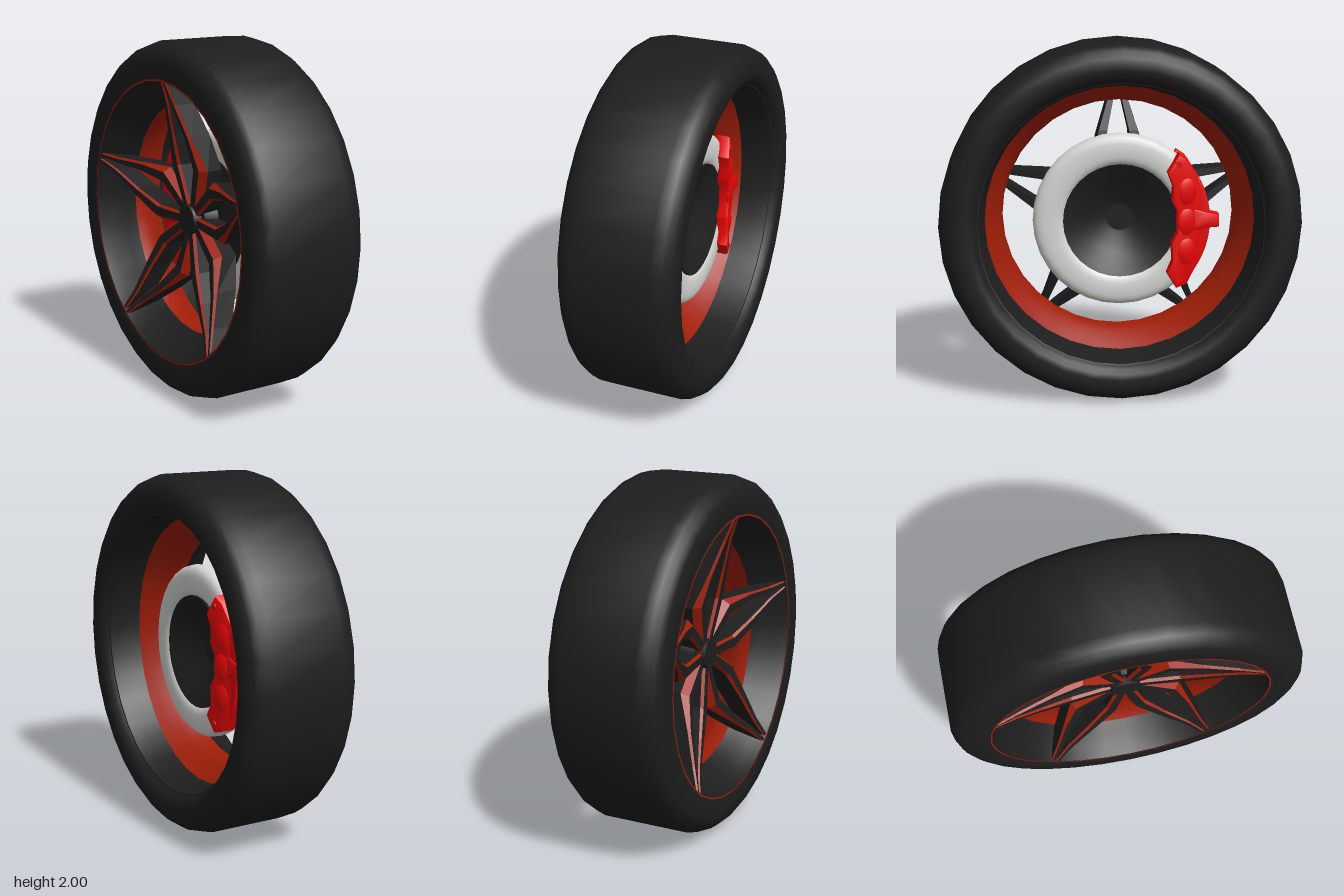
import * as THREE from 'three';
import { toCreasedNormals } from 'three/addons/utils/BufferGeometryUtils.js';

const SEG = 32;

function material(name, color, side = THREE.FrontSide) {
  const m = new THREE.MeshStandardMaterial({ color, side });
  m.name = name;
  return m;
}

// Ring turned about the x axis from [radius, x] points
function turned(points, crease = 0.7) {
  const g = new THREE.LatheGeometry(points.map(([r, x]) => new THREE.Vector2(r, x)), SEG);
  g.rotateZ(-Math.PI / 2);
  return toCreasedNormals(g, crease);
}

// Cylinder along the x axis from x0 to x1
function axle(r0, r1, x0, x1, sides) {
  const g = new THREE.CylinderGeometry(r1, r0, x1 - x0, sides);
  g.rotateZ(-Math.PI / 2);
  g.translate((x0 + x1) / 2, 0, 0);
  return toCreasedNormals(g, 0.7);
}

// Outline of [-z, y] points, extruded from x0 to x1
function slab(shape, x0, x1, bevel = 0.012) {
  const g = new THREE.ExtrudeGeometry(shape, {
    depth: x1 - x0 - 2 * bevel, bevelSize: bevel, bevelThickness: bevel,
    bevelOffset: -bevel, bevelSegments: 2, curveSegments: 10,
  });
  g.translate(0, 0, x0 + bevel);
  g.rotateY(Math.PI / 2);
  return toCreasedNormals(g, 0.6);
}

// One spoke arm: six-sided sections; chamfers (sides 1 and 5) use the second material
function armGeometry(side) {
  // radius, offset, half width, front x, depth, inner chamfer, outer chamfer
  const stations = [
    [0.06, 0.03, 0.022, -0.15, 0.12, 0.012, 0.03],
    [0.30, 0.113, 0.028, -0.175, 0.14, 0.012, 0.03],
    [0.48, 0.085, 0.019, -0.22, 0.14, 0.009, 0.012],
    [0.66, 0.037, 0.012, -0.275, 0.13, 0.007, 0.009],
    [0.795, 0.015, 0.008, -0.324, 0.05, 0.005, 0.006],
  ];
  const sections = stations.map(([r, t, w, f, d, inner, outer]) => {
    const [a, b] = side > 0 ? [inner, outer] : [outer, inner];
    return [
      [-w, 0], [w, 0], [w + b, b * 1.4], [w + b / 2, d], [-w - a / 2, d], [-w - a, a * 1.4],
    ].map(([z, x]) => [f + x, r, side * t + z]);
  });
  const g = new THREE.BufferGeometry();
  const pos = [];
  for (let k = 0; k < 6; k++) {
    const start = pos.length / 3;
    const n = (k + 1) % 6;
    for (let i = 0; i < sections.length - 1; i++) {
      const a = sections[i][k], b = sections[i][n];
      const c = sections[i + 1][n], d = sections[i + 1][k];
      pos.push(...a, ...b, ...c, ...a, ...c, ...d);
    }
    g.addGroup(start, pos.length / 3 - start, k === 1 || k === 5 ? 1 : 0);
  }
  g.setAttribute('position', new THREE.Float32BufferAttribute(pos, 3));
  g.computeVertexNormals();
  return g;
}

export function createModel() {
  const rubber = material('tyre rubber', 0x1d1d1d, THREE.DoubleSide);
  const dark = material('dark rim', 0x1e1e1e, THREE.DoubleSide);
  const orange = material('burnt orange', 0xa01e08, THREE.DoubleSide);
  const steel = material('disc steel', 0xd6d6d4);
  const red = material('caliper red', 0xf60404);

  const wheel = new THREE.Group();
  wheel.name = 'wheel';
  wheel.position.y = 1;
  const add = (name, geometry, mat, parent = wheel) => {
    const m = new THREE.Mesh(geometry, mat);
    m.name = name;
    parent.add(m);
    return m;
  };

  // Tyre: shared shoulder, with a deeper bead on the inner side
  const shoulder = [[1, 0.21], [0.985, 0.265], [0.96, 0.298], [0.925, 0.322], [0.86, 0.325]];
  const tyre = [
    [0.795, -0.318], [0.82, -0.323], ...shoulder.map(([r, x]) => [r, -x]).reverse(),
    ...shoulder, [0.83, 0.318], [0.803, 0.298], [0.785, 0.265],
  ];
  add('tyre', turned(tyre, 1.0), rubber);

  // Rim barrel, from the inner lip through to the outer lip
  add('innerBarrel', turned([[0.795, 0.275], [0.782, 0.27], [0.768, 0.2], [0.753, 0.09]]), dark);
  add('paintedBarrel', turned([[0.753, 0.09], [0.725, 0.05], [0.685, -0.01], [0.66, -0.06], [0.66, -0.13]]), orange);
  add('outerBarrel', turned([[0.66, -0.13], [0.695, -0.18], [0.755, -0.26], [0.785, -0.322], [0.805, -0.322]]), dark);
  add('lipStripe', new THREE.RingGeometry(0.786, 0.795, SEG).rotateY(-Math.PI / 2).translate(-0.324, 0, 0), orange);

  // Five double spokes
  const arms = [-1, 1].map(armGeometry);
  for (let i = 0; i < 5; i++) {
    const spoke = new THREE.Group();
    spoke.name = 'spoke';
    spoke.rotation.x = (i * Math.PI * 2) / 5;
    arms.forEach((g) => add('spokeArm', g, [dark, orange], spoke));
    wheel.add(spoke);
  }

  // Hub
  add('hubCap', axle(0.085, 0.095, -0.168, -0.1, 10), dark);
  add('hubDrum', axle(0.12, 0.14, -0.12, -0.02, 20), dark);
  add('hubNut', axle(0.075, 0.075, -0.03, 0.002, 20), dark);

  // Brake disc: a ring with a rounded, nearly square section
  const ring = [];
  const soften = (v) => Math.sign(v) * Math.abs(v) ** 0.7;
  for (let i = 0; i <= 24; i++) {
    const a = (i / 24) * Math.PI * 2;
    ring.push([0.398 + 0.09 * soften(Math.cos(a)), 0.05 + 0.066 * soften(Math.sin(a))]);
  }
  add('brakeDisc', turned(ring, 1.0), steel);
  add('discCentre', turned([
    [0.01, -0.04], [0.2, -0.04], [0.35, -0.022], [0.32, 0.05], [0.319, 0.108],
    [0.29, 0.095], [0.2, 0.05], [0.1, 0], [0.01, -0.015],
  ]), dark);

  // Caliper
  const caliper = new THREE.Group();
  caliper.name = 'caliper';
  wheel.add(caliper);
  const outline = [
    [0.32, 0.385], [0.37, 0.35], [0.43, 0.25], [0.475, 0.12], [0.485, 0], [0.475, -0.12],
    [0.43, -0.25], [0.37, -0.36], [0.31, -0.38], [0.255, -0.29], [0.285, -0.22], [0.28, -0.12],
    [0.31, -0.06], [0.31, 0.06], [0.28, 0.12], [0.285, 0.2], [0.255, 0.28],
  ];
  const cheek = new THREE.Shape(outline.map(([u, v]) => new THREE.Vector2(u, v)));
  // the inner cheek leans back towards its outer edge
  const lean = new THREE.Matrix4().makeShear(0, 0, 0, 0, 0.3, 0);
  add('innerCheek', slab(cheek, 0.17, 0.262, 0.018).applyMatrix4(lean), red, caliper);
  add('outerCheek', slab(cheek, -0.05, -0.005, 0.015), red, caliper);

  // Bridge over the edge of the disc
  const bridge = new THREE.Shape();
  bridge.absarc(0, 0, 0.5, -0.65, 0.65, false);
  bridge.absarc(0, 0, 0.42, 0.65, -0.65, true);
  add('bridge', slab(bridge, -0.04, 0.13), red, caliper);

  // Piston housings and mounting bolts
  for (const v of [-0.17, 0, 0.17]) {
    const bump = add('pistonHousing', new THREE.SphereGeometry(1, 16, 10), red, caliper);
    bump.scale.set(0.022, 0.085, 0.06);
    bump.rotation.y = 0.29;
    bump.position.set(0.142, v, -0.365);
  }
  for (const s of [-1, 1]) {
    const bolt = add('caliperBolt', axle(0.02, 0.02, -0.04, 0.17, 10), red, caliper);
    bolt.position.set(0, s * 0.325, -0.315);
  }

  // Mounting tab
  const tab = new THREE.Shape([[0.36, 0.085], [0.36, -0.07], [0.48, -0.04], [0.55, -0.035], [0.55, 0.035], [0.48, 0.05]]
    .map(([u, v]) => new THREE.Vector2(u, v)));
  add('mountingTab', slab(tab, 0.045, 0.14), red, caliper);

  const model = new THREE.Group();
  model.name = 'wheelAssembly';
  model.add(wheel);
  return model;
}
